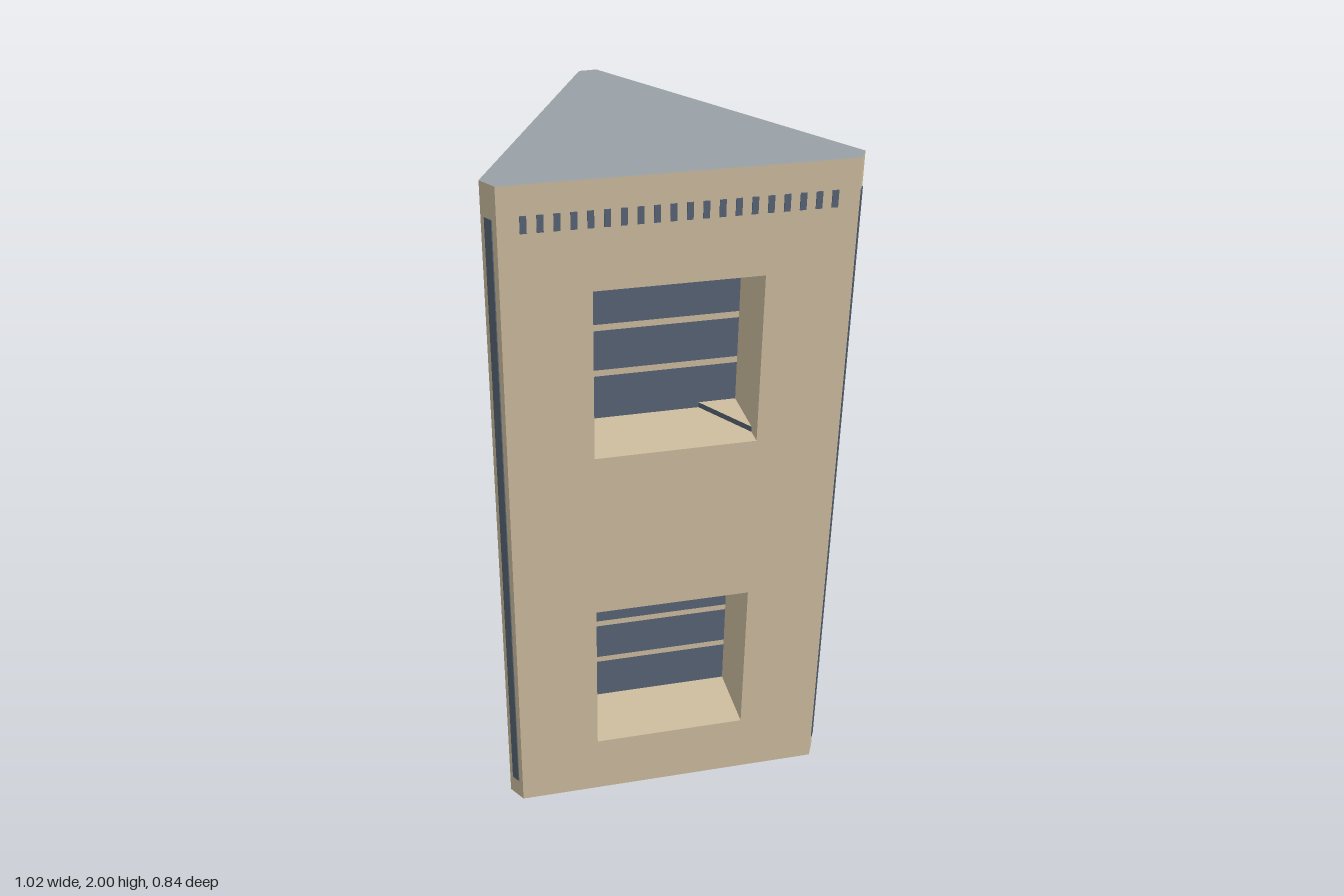
import * as THREE from 'three';

const mat = (name, color) => new THREE.MeshStandardMaterial({ name, color, side: THREE.DoubleSide });

export function createModel() {
  const stone = mat('sandstone', 0xcdbc9f);
  const glass = mat('blueGlass', 0x576374);
  const slate = mat('slateRoof', 0x98a1a6);
  const model = new THREE.Group();
  model.name = 'triangularTower';
  const HEIGHT = 2, DEPTH = 0.215;

  // Plan corners (x, z), counter-clockwise from above: wide walls alternate with narrow corner faces
  const plan = [[-0.025, 0.415], [0.507, -0.345], [0.483, -0.39], [-0.481, -0.419], [-0.508, -0.375], [-0.084, 0.412]];

  // Windows per wall: fractions along the wall, then sill and head heights
  const windows = {
    0: [[0.255, 0.745, 0.19, 0.686], [0.255, 0.745, 1.206, 1.702]],
    2: [[0.137, 0.613, 0.7, 1.222]],
  };

  const add = (parent, name, geometry, material) => {
    const mesh = new THREE.Mesh(geometry, material);
    mesh.name = name;
    parent.add(mesh);
    return mesh;
  };
  const plane = (parent, name, w, h, material, x, y, z, rx = 0, ry = 0) => {
    const mesh = add(parent, name, new THREE.PlaneGeometry(w, h), material);
    mesh.position.set(x, y, z);
    mesh.rotation.set(rx, ry, 0);
  };
  const rect = (Type, x0, x1, y0, y1) => new Type(
    [[x0, y0], [x1, y0], [x1, y1], [x0, y1]].map(([x, y]) => new THREE.Vector2(x, y)));

  // Deep window recess with reveals, glass panels and flush horizontal bars
  function addRecess(wall, x0, x1, y0, y1) {
    const g = new THREE.Group();
    g.name = 'windowRecess';
    wall.add(g);
    const w = x1 - x0, h = y1 - y0, cx = (x0 + x1) / 2, cy = (y0 + y1) / 2, q = Math.PI / 2;
    plane(g, 'sill', w, DEPTH, stone, cx, y0, -DEPTH / 2, -q);
    plane(g, 'head', w, DEPTH, stone, cx, y1, -DEPTH / 2, q);
    plane(g, 'startReveal', DEPTH, h, stone, x0, cy, -DEPTH / 2, 0, q);
    plane(g, 'endReveal', DEPTH, h, stone, x1, cy, -DEPTH / 2, 0, -q);
    const bar = 0.019;
    let bottom = y0;
    for (const f of [0.288, 0.571, 0.859, null]) {
      const top = f === null ? y1 : y0 + f * h - bar / 2;
      plane(g, 'glassPanel', w, top - bottom, glass, cx, (top + bottom) / 2, -DEPTH);
      if (f !== null) plane(g, 'windowBar', w, bar, stone, cx, top + bar / 2, -DEPTH);
      bottom = top + bar;
    }
  }

  plan.forEach(([ax, az], i) => {
    const [bx, bz] = plan[(i + 1) % plan.length];
    const len = Math.hypot(bx - ax, bz - az);

    // Wall frame: x runs along the wall, z points outward
    const wall = new THREE.Group();
    wall.name = i % 2 ? 'cornerFace' : 'wall';
    wall.position.set(ax, 0, az);
    wall.rotation.y = Math.atan2(az - bz, bx - ax);
    model.add(wall);

    const shape = rect(THREE.Shape, 0, len, 0, HEIGHT);
    for (const [f0, f1, y0, y1] of windows[i] ?? []) {
      shape.holes.push(rect(THREE.Path, f0 * len, f1 * len, y0, y1));
      addRecess(wall, f0 * len, f1 * len, y0, y1);
    }
    add(wall, 'wallSurface', new THREE.ShapeGeometry(shape), stone);

    if (i % 2) {
      // Tall glass strip on each narrow corner
      add(wall, 'cornerStrip', new THREE.BoxGeometry(len * 0.45, 1.845, 0.004), glass)
        .position.set(len / 2, 0.988, 0.001);
    } else {
      // Row of small vents under the roof
      for (let k = 0; k < 20; k++) {
        add(wall, 'vent', new THREE.BoxGeometry(0.017, 0.046, 0.004), glass)
          .position.set(len * (0.07 + 0.86 * k / 19), 1.897, 0.001);
      }
    }
  });

  // Flat roof; the base is left open
  const outline = new THREE.Shape(plan.map(([x, z]) => new THREE.Vector2(x, -z)));
  const roof = add(model, 'roof', new THREE.ShapeGeometry(outline), slate);
  roof.rotation.x = -Math.PI / 2;
  roof.position.y = HEIGHT;

  return model;
}
